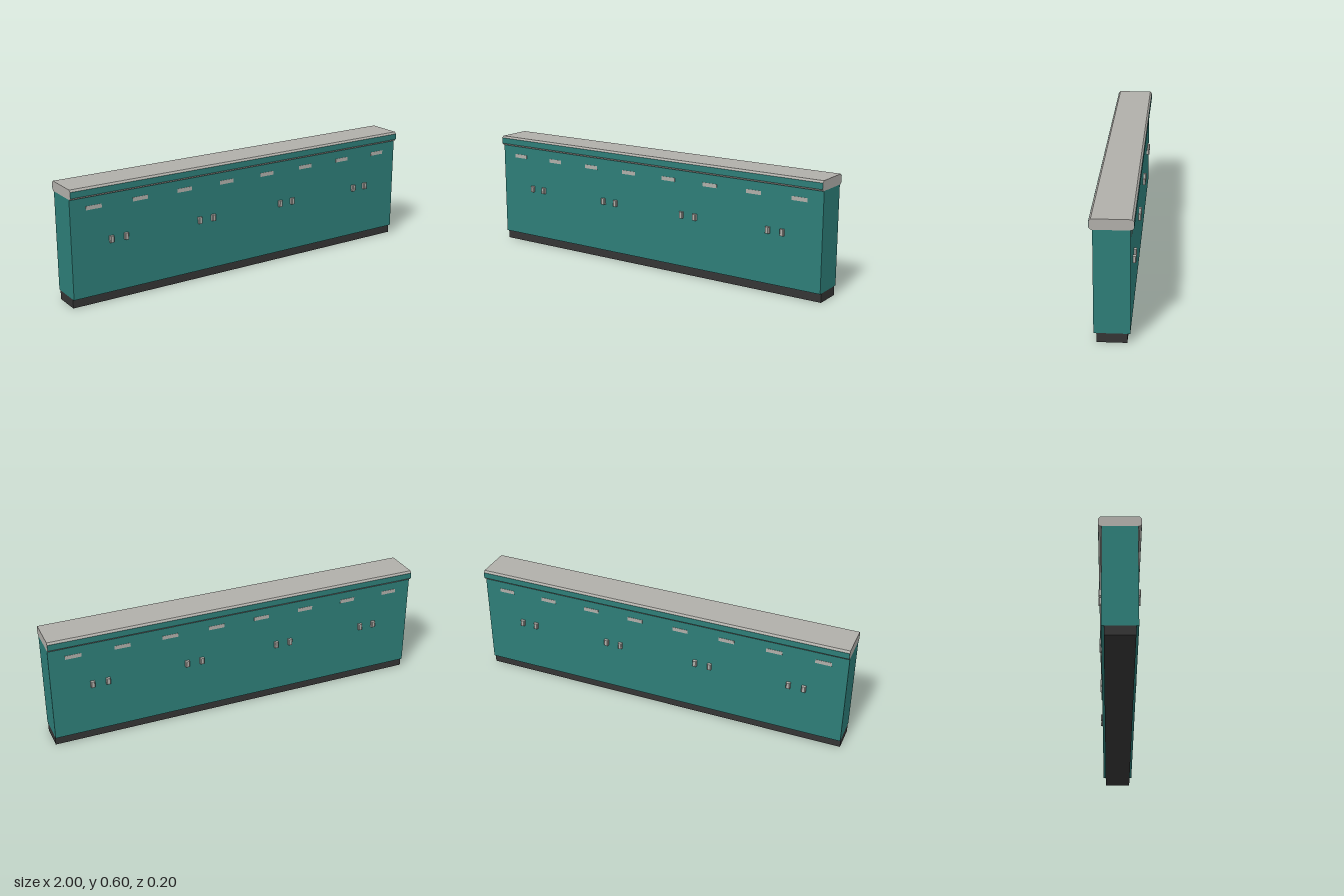
import * as THREE from 'three';

const mat = (name, color) => {
  const m = new THREE.MeshStandardMaterial({ color });
  m.name = name;
  return m;
};

export function createModel() {
  const teal = mat('teal', 0x2d7d77);
  const stone = mat('warmGrey', 0xb0aea9);
  const dark = mat('charcoal', 0x343434);
  const group = new THREE.Group();
  group.name = 'lowCounter';

  const add = (parent, name, geometry, material, x, y, z) => {
    const mesh = new THREE.Mesh(geometry, material);
    mesh.name = name;
    mesh.position.set(x, y, z);
    parent.add(mesh);
    return mesh;
  };
  const prism = (points, depth) => new THREE.ExtrudeGeometry(
    new THREE.Shape(points.map(([x, y]) => new THREE.Vector2(x, y))),
    { depth, bevelEnabled: false });

  // Recessed plinth and main body
  add(group, 'plinth', new THREE.BoxGeometry(2, 0.046, 0.14), dark, 0, 0.023, 0);
  add(group, 'body', new THREE.BoxGeometry(2, 0.505, 0.166), teal, 0, 0.2985, 0);

  // Worktop with chamfered long edges, extruded along x
  const top = prism([
    [-0.09, 0.55], [0.09, 0.55], [0.099, 0.56], [0.099, 0.591],
    [0.09, 0.601], [-0.09, 0.601], [-0.099, 0.591], [-0.099, 0.56],
  ], 2);
  top.rotateY(Math.PI / 2);
  add(group, 'worktop', top, stone, -1, 0, 0);

  // Handle: upright prism with chamfered outer edges
  const handle = prism([
    [-0.011, 0], [0.011, 0], [0.011, -0.011], [0.007, -0.015],
    [-0.007, -0.015], [-0.011, -0.011],
  ], 0.033);
  handle.rotateX(-Math.PI / 2);
  const label = new THREE.BoxGeometry(0.083, 0.02, 0.003);
  const stripe = new THREE.BoxGeometry(2, 0.031, 0.001);

  // Fittings, the same on the front and the back
  for (const side of ['front', 'back']) {
    const face = new THREE.Group();
    face.name = side + 'Fittings';
    if (side === 'back') face.rotation.y = Math.PI;
    group.add(face);
    add(face, 'edgeStripe', stripe, teal, 0, 0.5755, 0.0993);
    for (let i = 0; i < 8; i++) {
      add(face, 'labelPlate', label, stone, -0.875 + i * 0.25, 0.495, 0.083);
    }
    for (const x of [-0.75, -0.25, 0.25, 0.75]) {
      for (const s of [-1, 1]) {
        add(face, 'handle', handle, stone, x + s * 0.04, 0.303, 0.083);
      }
    }
  }
  return group;
}
